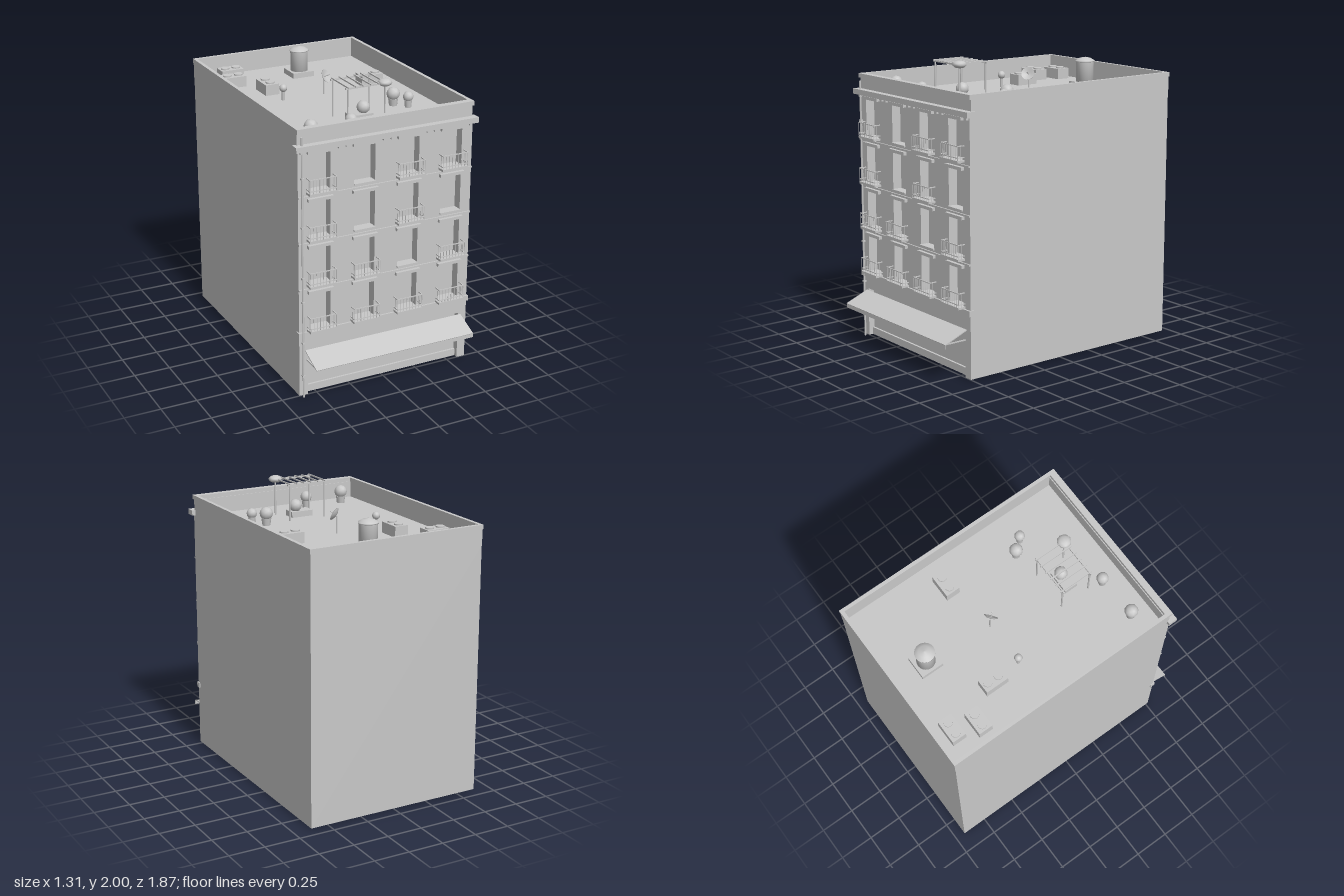
import * as THREE from 'three';

const paleGrey = new THREE.MeshStandardMaterial({ color: 0xc8c8c8 });
paleGrey.name = 'paleGrey';

export function createModel() {
  const model = new THREE.Group();
  model.name = 'apartmentBuilding';

  const add = (name, geometry, parent = model) => {
    const mesh = new THREE.Mesh(geometry, paleGrey);
    mesh.name = name;
    parent.add(mesh);
    return mesh;
  };
  // Box given by its extents on each axis
  const box = (name, x0, x1, y0, y1, z0, z1, parent) => {
    const m = add(name, new THREE.BoxGeometry(x1 - x0, y1 - y0, z1 - z0), parent);
    m.position.set((x0 + x1) / 2, (y0 + y1) / 2, (z0 + z1) / 2);
    return m;
  };
  // Upright cylinder standing on y0
  const post = (name, x, z, y0, y1, r, sides = 8, parent = model, rTop = r) => {
    const m = add(name, new THREE.CylinderGeometry(rTop, r, y1 - y0, sides), parent);
    m.position.set(x, (y0 + y1) / 2, z);
    return m;
  };
  const group = (name) => {
    const g = new THREE.Group();
    g.name = name;
    model.add(g);
    return g;
  };

  const W = 0.63, BACK = -0.93, FRONT = 0.765, ROOF = 1.72;
  const columns = [-0.478, -0.16, 0.16, 0.478];
  const sillY = (row) => 0.473 + row * 0.318;

  // Body and pierced front wall
  box('body', -W, W, 0.01, ROOF, BACK, 0.7);
  const wall = new THREE.Shape([
    [-W, 0.01], [-0.57, 0.01], [-0.57, 0.35], [0.57, 0.35], [0.57, 0.01],
    [W, 0.01], [W, ROOF], [-W, ROOF],
  ].map(([x, y]) => new THREE.Vector2(x, y)));
  for (let row = 0; row < 4; row++) {
    for (const x of columns) {
      const y0 = sillY(row) + 0.008, y1 = y0 + 0.255;
      wall.holes.push(new THREE.Path([
        [x - 0.075, y0], [x - 0.075, y1], [x + 0.075, y1], [x + 0.075, y0],
      ].map(([px, py]) => new THREE.Vector2(px, py))));
    }
  }
  const facade = add('facade', new THREE.ExtrudeGeometry(wall, { depth: FRONT - 0.7, bevelEnabled: false }));
  facade.position.z = 0.7;
  box('shopFront', -0.57, 0.57, 0.01, 0.35, 0.69, 0.72);
  box('shopStep', -0.57, 0.57, 0.01, 0.06, 0.7, 0.735);

  // Horizontal mouldings
  box('shopBand', -0.637, 0.637, 0.435, 0.472, 0.74, 0.778);
  for (const y of [0.765, 1.083, 1.401]) box('floorString', -W, W, y, y + 0.012, 0.75, 0.775);
  box('cornice', -0.655, 0.655, 1.719, 1.756, 0.74, 0.802);
  for (let i = 0; i < 24; i++) {
    const x = (i - 11.5) * 0.053;
    box('dentil', x - 0.008, x + 0.008, 1.7, 1.72, 0.76, 0.782);
  }

  // Parapet and its coping
  const P = 0.633;
  const ring = (name, y0, y1, t, front, x, back) => {
    box(name + 'Back', -x, x, y0, y1, back, back + t);
    box(name + 'Front', -x, x, y0, y1, front - t * 1.8, front);
    for (const s of [-1, 1]) {
      const inner = s * (x - t), outer = s * x;
      box(name + 'Side', Math.min(inner, outer), Math.max(inner, outer), y0, y1, back + t, front - t * 1.8);
    }
  };
  ring('parapet', ROOF, 1.832, 0.02, 0.755, P - 0.002, -0.932);
  ring('coping', 1.83, 1.86, 0.025, 0.77, P + 0.002, -0.935);

  // Balcony with railing
  const balcony = (x, y) => {
    const g = group('balcony');
    const h = 0.095, zOut = 0.816, top = y + 0.06 + 0.04 - 0.045 + 0.005;
    const yTop = y + 0.06 > top ? y + 0.06 : y + 0.106;
    const low = y - 0.014, rail = 0.003;
    box('balconySlab', x - h, x + h, y - 0.046 + 0.046, y + 0.014, FRONT, 0.82, g);
    for (const ry of [yTop, low + 0.046]) {
      box('frontRail', x - h, x + h, ry - rail, ry + rail, zOut - rail, zOut + rail, g);
      for (const s of [-1, 1]) {
        const rx = x + s * (h - rail);
        box('sideRail', rx - rail, rx + rail, ry - rail, ry + rail, FRONT, zOut, g);
      }
    }
    for (let i = 0; i < 9; i++) {
      post('bar', x + (i / 4 - 1) * (h - rail), zOut, y + 0.01, yTop, 0.0022, 6, g);
    }
    for (const s of [-1, 1]) post('sideBar', x + s * (h - rail), 0.792, y + 0.01, yTop, 0.0022, 6, g);
  };

  // Windows: lintels everywhere, balconies or plain sills below
  const hasBalcony = ['1111', '1101', '1010', '1011'];
  for (let row = 0; row < 4; row++) {
    columns.forEach((x, c) => {
      const y = sillY(row);
      const lintelTop = y + 0.287;
      box('lintel', x - 0.09, x + 0.09, lintelTop - 0.021, lintelTop, 0.75, 0.788);
      if (hasBalcony[row][c] === '1') balcony(x, y);
      else box('windowSill', x - 0.077, x + 0.077, y, y + 0.01, 0.72, 0.776);
    });
  }

  // Awning over the shop
  const awning = group('awning');
  const slope = box('awningCanopy', -0.588, 0.588, 0.297, 0.303, 0.758, 0.942, awning);
  slope.rotation.x = Math.atan2(0.069, 0.17);
  box('awningValance', -0.588, 0.588, 0.238, 0.268, 0.93, 0.935, awning);
  for (const s of [-1, 1]) box('awningArm', s * 0.575 - 0.004, s * 0.575 + 0.004, 0.262, 0.269, FRONT, 0.932, awning);

  // Drainpipe with clips
  post('drainpipe', -0.605, 0.776, 0, 1.81, 0.007);
  for (const y of [0.15, 0.39, 0.68, 0.85, 1.2, 1.53]) box('pipeClip', -0.614, -0.596, y, y + 0.012, FRONT, 0.786);

  // Rooftop units with twin fans
  const roofUnit = (x, z, w, d) => {
    const g = group('roofUnit');
    box('unitCase', x - w / 2, x + w / 2, ROOF, ROOF + 0.075, z - d / 2, z + d / 2, g);
    for (const s of [-1, 1]) {
      const fx = w > d ? x + s * w / 4 : x, fz = w > d ? z : z + s * d / 4;
      post('unitFan', fx, fz, ROOF + 0.075, ROOF + 0.085, 0.03, 12, g);
    }
  };
  roofUnit(-0.408, -0.797, 0.165, 0.1);
  roofUnit(-0.462, -0.632, 0.165, 0.1);
  roofUnit(-0.3, -0.402, 0.1, 0.165);
  roofUnit(0.416, -0.26, 0.165, 0.1);

  // Water tank on a pad
  box('tankPad', -0.015, 0.145, ROOF, 1.757, -0.747, -0.588);
  const tank = add('waterTank', new THREE.LatheGeometry([
    [0, 1.75], [0.062, 1.75], [0.062, 1.898], [0.067, 1.898], [0.067, 1.905], [0.04, 1.922], [0, 1.93],
  ].map(([r, y]) => new THREE.Vector2(r, y)), 20));
  tank.position.set(0.065, 0, -0.665);

  // Vent
  post('ventPipe', -0.28, -0.19, ROOF, 1.8, 0.012);
  add('ventCap', new THREE.SphereGeometry(0.027, 10, 8)).position.set(-0.28, 1.805, -0.19);

  // Satellite dish on a mast
  post('dishMast', 0.025, -0.19, ROOF, 1.84, 0.006);
  const dish = group('dish');
  dish.position.set(0.028, 1.845, -0.183);
  dish.lookAt(0.028 + 0.54, 1.845 + 0.45, -0.183 + 0.72);
  const bowl = add('dishBowl', new THREE.LatheGeometry([
    [0, -0.004], [0.025, 0], [0.046, 0.01], [0.046, 0.014], [0.025, 0.004], [0, 0],
  ].map(([r, y]) => new THREE.Vector2(r, y)), 16), dish);
  bowl.rotation.x = Math.PI / 2;
  const feed = post('dishFeed', 0, 0.022, -0.022, 0.022, 0.003, 6, dish);
  feed.rotation.x = Math.PI / 2;
  feed.position.y = 0;

  // Potted shrubs
  const foliage = (x, y, z, r, squash = 1) => {
    const m = add('foliage', new THREE.IcosahedronGeometry(r, 1));
    m.position.set(x, y, z);
    m.scale.y = squash;
  };
  for (const [x, z, r] of [[-0.45, 0.585, 0.046], [-0.16, 0.575, 0.041], [0.33, 0.24, 0.046], [0.4, 0.32, 0.036]]) {
    post('plantPot', x, z, ROOF, 1.77, r * 0.6, 10, model, r * 0.75);
    foliage(x, 1.765 + r * 0.8, z, r);
  }
  box('planter', -0.08, 0.08, ROOF, 1.76, 0.335, 0.43);
  foliage(0.03, 1.795, 0.38, 0.045);

  // Pergola with a climbing bush on one corner
  for (const z of [0.265, 0.48]) {
    for (const x of [-0.135, 0.135]) post('pergolaPost', x, z, ROOF, 1.972, 0.006);
    box('pergolaBeam', -0.152, 0.152, 1.965, 1.976, z - 0.005, z + 0.005);
  }
  for (let i = 0; i < 6; i++) {
    const x = -0.135 + i * 0.054;
    box('pergolaSlat', x - 0.004, x + 0.004, 1.973, 1.982, 0.25, 0.495);
  }
  foliage(0.135, 1.975, 0.478, 0.048, 0.55);

  return model;
}
